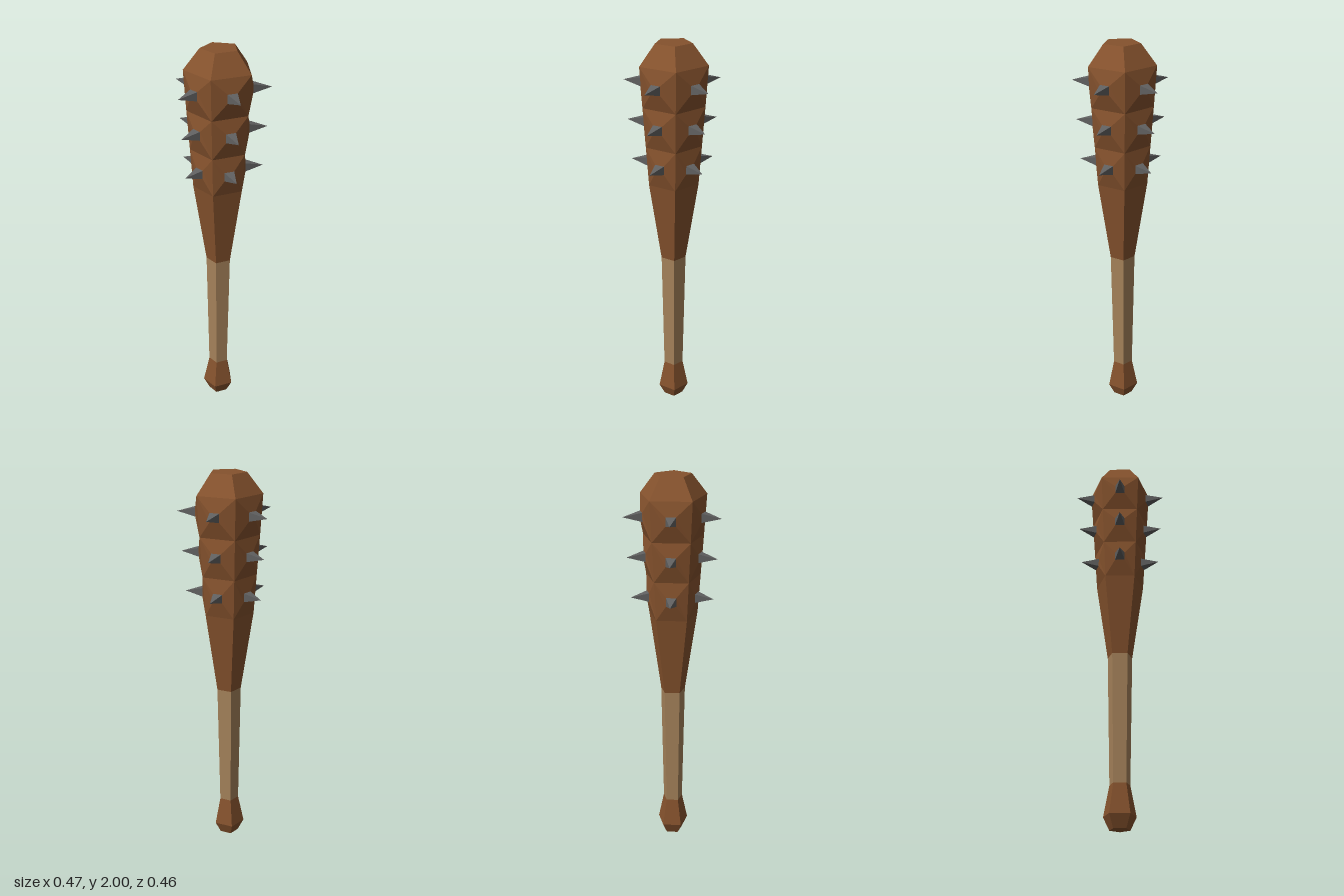
import * as THREE from 'three';

const SIDES = 5;
const STEP = (Math.PI * 2) / SIDES;
const START = THREE.MathUtils.degToRad(4);

// Point at an angle (from +z towards +x), radius, height and sideways shift along the face
function polar(angle, r, y, shift = 0) {
  const s = Math.sin(angle), c = Math.cos(angle);
  const lean = -0.001 + 0.003 * y; // the club leans very slightly
  return new THREE.Vector3(lean + r * s + shift * c, y, 0.019 - 0.001 * y + r * c - shift * s);
}

const ring = (y, r) =>
  Array.from({ length: SIDES }, (_, i) => polar(START + i * STEP, r, y));

// Collects flat polygons (corners counter-clockwise from outside) into one mesh
function polyMesh(name, color, polygons) {
  const pts = [];
  for (const p of polygons)
    for (let i = 1; i < p.length - 1; i++) pts.push(p[0], p[i], p[i + 1]);
  const geometry = new THREE.BufferGeometry().setFromPoints(pts);
  geometry.computeVertexNormals();
  const material = new THREE.MeshStandardMaterial({ color, flatShading: true });
  const mesh = new THREE.Mesh(geometry, material);
  mesh.name = name;
  return mesh;
}

// Quads between two loops of corners
function band(lower, upper) {
  return lower.map((p, i) => {
    const j = (i + 1) % lower.length;
    return [p, lower[j], upper[j], upper[i]];
  });
}

export function createModel() {
  const club = new THREE.Group();
  club.name = 'spikedClub';
  const wood = 0x85522d, wrap = 0xa5825a, iron = 0x606060;

  // Pommel
  const foot = ring(0, 0.052), knob = ring(0.065, 0.084), neck = ring(0.215, 0.053);
  club.add(polyMesh('pommel', wood, [
    [...foot].reverse(), ...band(foot, knob), ...band(knob, neck),
  ]));

  // Grip
  const gripTop = ring(0.88, 0.066);
  club.add(polyMesh('grip', wrap, band(neck, gripTop)));

  // Head: taper, three rows of raised facets, bevelled top
  const rowRings = [ring(1.3, 0.13), ring(1.5, 0.144), ring(1.7, 0.158), ring(1.9, 0.171)];
  const rows = [
    { y: 1.405, base: 0.127, tip: 0.215 },
    { y: 1.61, base: 0.142, tip: 0.232 },
    { y: 1.808, base: 0.156, tip: 0.248 },
  ];
  const crown = ring(2, 0.093);
  const head = [...band(gripTop, rowRings[0]), ...band(rowRings[3], crown), crown];
  const spikes = new THREE.Group();
  spikes.name = 'spikes';

  rows.forEach(({ y, base, tip }, row) => {
    band(rowRings[row], rowRings[row + 1]).forEach((outer, i) => {
      const angle = START + (i + 0.5) * STEP;
      const w = 0.025, h = 0.022;
      const inner = [[-w, -h], [w, -h], [w, h], [-w, h]]
        .map(([dx, dy]) => polar(angle, base, y + dy, dx));
      head.push(...band(outer, inner));
      // Four-sided spike on the raised facet
      const point = polar(angle, tip, y);
      spikes.add(polyMesh('spike', iron,
        inner.map((p, k) => [p, inner[(k + 1) % 4], point])));
    });
  });

  club.add(polyMesh('head', wood, head), spikes);
  return club;
}
